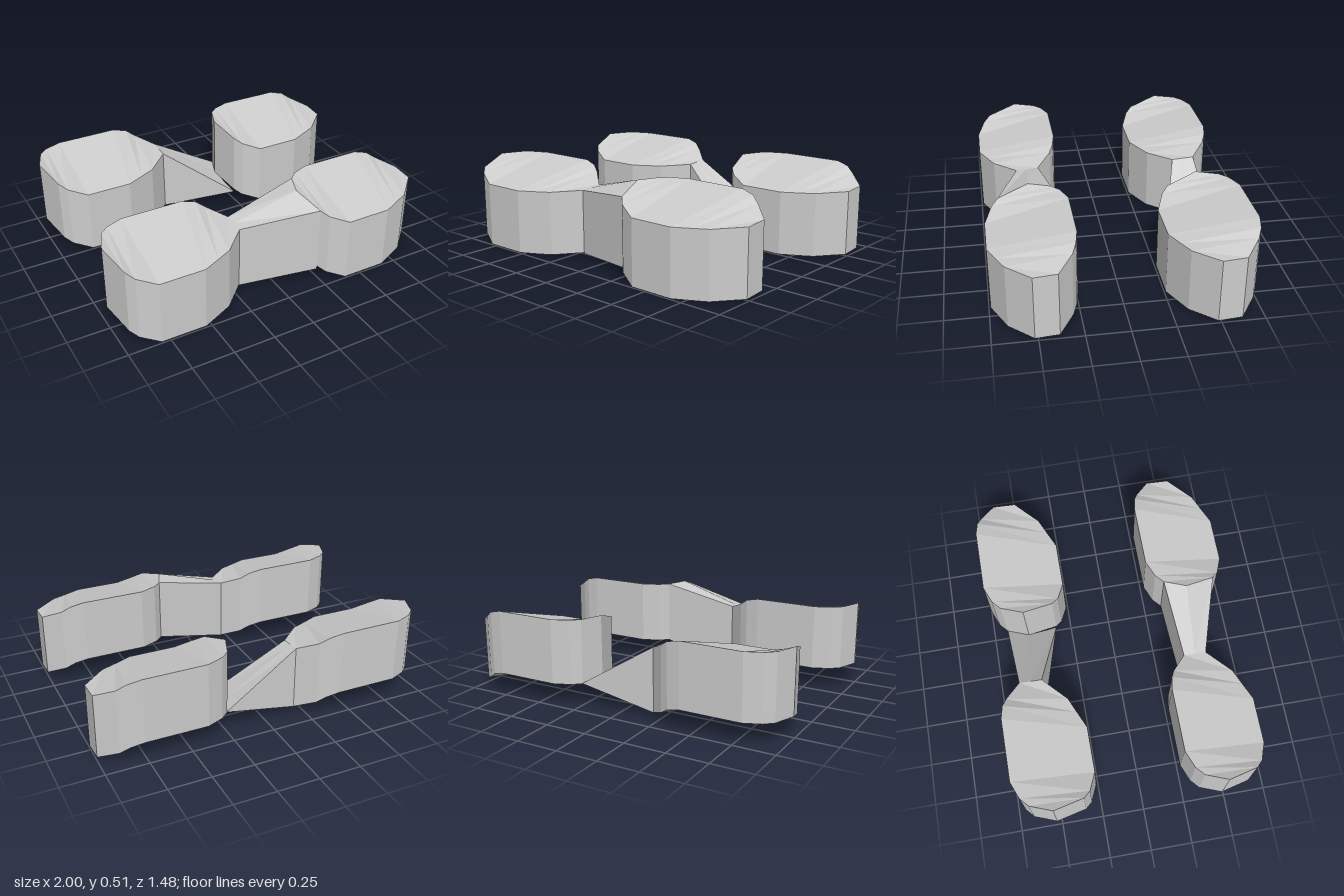
import * as THREE from 'three';

// Closed slab from rows of point pairs; each point is [x, z, top, bottom].
// Walking along the rows, the first point of a pair lies on the right hand.
function slab(rows, name) {
  const pos = [];
  const top = p => [p[0], p[2], p[1]];
  const bot = p => [p[0], p[3], p[1]];
  const same = (a, b) => a.every((v, i) => Math.abs(v - b[i]) < 1e-6);
  const tri = (a, b, c) => {
    if (!same(a, b) && !same(b, c) && !same(a, c)) pos.push(...a, ...b, ...c);
  };
  const quad = (a, b, c, d) => { tri(a, b, c); tri(a, c, d); };
  const wall = (a, b) => quad(bot(a), bot(b), top(b), top(a));
  for (let i = 0; i < rows.length - 1; i++) {
    const [f0, b0] = rows[i], [f1, b1] = rows[i + 1];
    quad(top(f0), top(f1), top(b1), top(b0));
    quad(bot(b0), bot(b1), bot(f1), bot(f0));
    wall(f0, f1);
    wall(b1, b0);
  }
  const [fs, bs] = rows[0], [fe, be] = rows[rows.length - 1];
  wall(bs, fs);
  wall(fe, be);
  const geo = new THREE.BufferGeometry();
  geo.setAttribute('position', new THREE.Float32BufferAttribute(pos, 3));
  geo.computeVertexNormals();
  const mesh = new THREE.Mesh(geo, new THREE.MeshStandardMaterial({
    color: 0xcccccc, flatShading: true, side: THREE.DoubleSide }));
  mesh.name = name;
  return mesh;
}

// Outline of one lobe as front and back chains: [x, z, top]
const front = [[-1, 0.475, 0.515], [-0.95, 0.655, 0.46], [-0.91, 0.695, 0.43], [-0.8, 0.74, 0.385],
  [-0.66, 0.74, 0.385], [-0.53, 0.74, 0.385], [-0.43, 0.695, 0.387], [-0.34, 0.655, 0.39], [-0.2, 0.52, 0.4]];
const back = [[-1, 0.475, 0.515], [-0.95, 0.345, 0.515], [-0.9, 0.3, 0.515], [-0.8, 0.26, 0.515],
  [-0.62, 0.26, 0.515], [-0.43, 0.26, 0.515], [-0.35, 0.275, 0.495], [-0.3, 0.3, 0.46], [-0.2, 0.385, 0.41]];
const bottom = t => Math.max(0, t - 0.385);
const lobeRows = front.map((f, i) => [f, back[i]].map(([x, z, t]) => [x, z, t, bottom(t)]));

// Bridge between two lobes; a wedge bridge runs down to the lower rim of the second lobe
function bridge(wedge) {
  const near = [[-0.2, 0.385, 0.41, 0.025], [-0.2, 0.4525, 0.405, 0.02], [-0.2, 0.52, 0.4, 0.01]];
  const far = [[0.25, 0.345, 0.515, 0.13], [0.2, 0.475, 0.515, 0.13], [0.25, 0.655, 0.46, 0.055]];
  return slab(near.map((p, i) => {
    const q = far[i].slice();
    if (wedge) q[2] = q[3] + 0.004;
    return [p, q];
  }), wedge ? 'wedgeBridge' : 'bridge');
}

export function createModel() {
  const model = new THREE.Group();
  model.name = 'lobedPairs';
  // Front pair, then the same pair shifted to the back
  [['frontPair', 0, false], ['backPair', -1, true]].forEach(([name, z, wedge]) => {
    const pair = new THREE.Group();
    pair.name = name;
    pair.position.z = z;
    const left = slab(lobeRows, 'leftLobe');
    left.position.x = 1.2;
    pair.add(slab(lobeRows, 'rightLobe'), left, bridge(wedge));
    model.add(pair);
  });
  return model;
}
